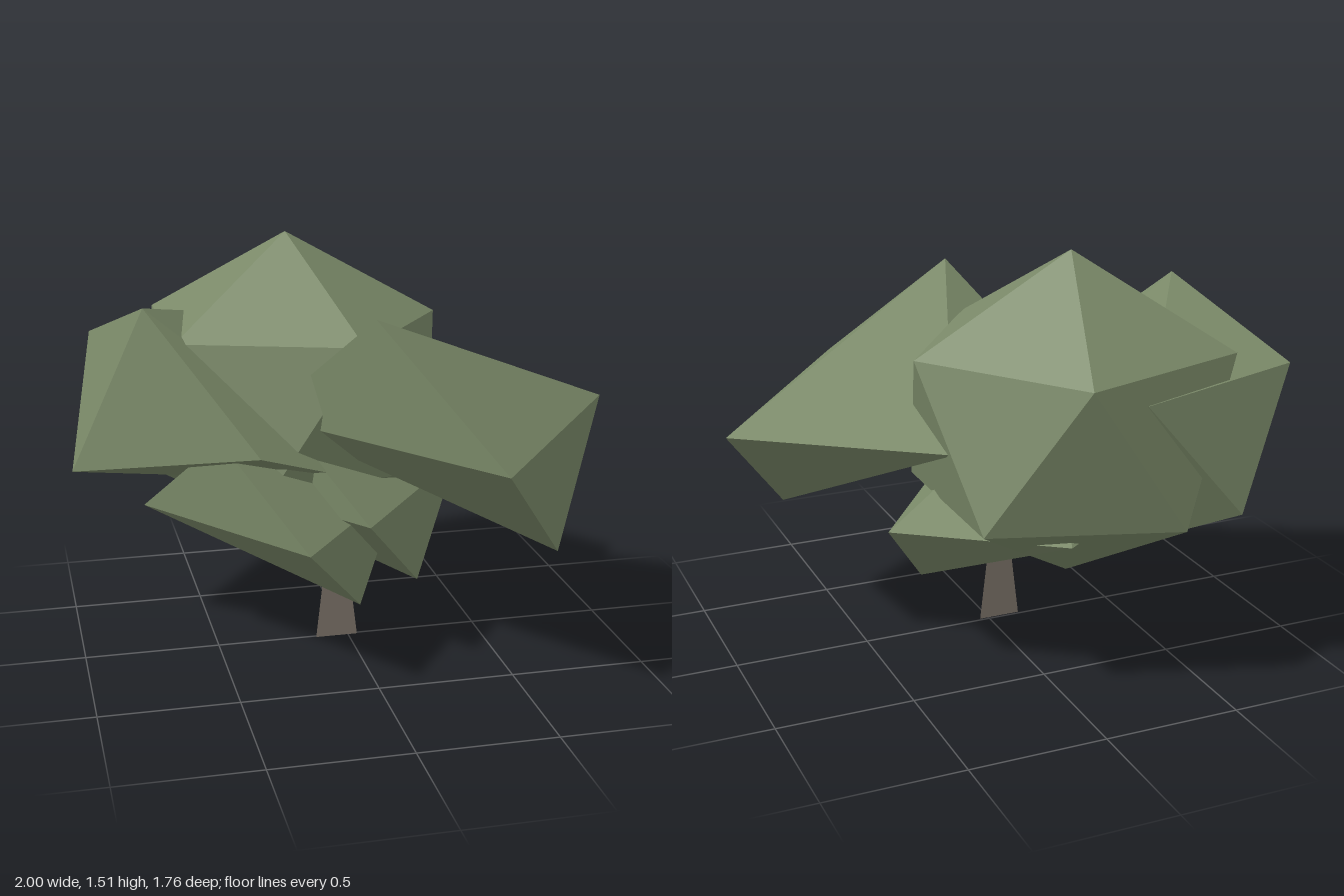
import * as THREE from 'three';
import { ConvexGeometry } from 'three/addons/geometries/ConvexGeometry.js';

export function createModel() {
  const tree = new THREE.Group();
  tree.name = 'tree';

  const leafGreen = new THREE.MeshStandardMaterial({ color: 0x7a8968, flatShading: true });
  leafGreen.name = 'leaf green';
  const barkBrown = new THREE.MeshStandardMaterial({ color: 0x7c7369, side: THREE.DoubleSide });
  barkBrown.name = 'bark brown';

  // Faceted leaf clump wrapped around a few corner points
  function addClump(name, points) {
    const corners = points.map(([x, y, z]) => new THREE.Vector3(x, y, z));
    const mesh = new THREE.Mesh(new ConvexGeometry(corners), leafGreen);
    mesh.name = name;
    tree.add(mesh);
    return mesh;
  }

  // Skewed double pyramid: flat four-cornered waist, one peak and one lower point
  const wedge = [
    [-0.765, 1, 0], [0.765, -1, 0],
    [0, 0, 1], [1.48, 0, -1.02], [0, 0, -2.08], [-1.48, 0, -1.02],
  ];
  const wedges = [
    ['upperLeftClump', 0.445, 0.34, 0.885, 0.435],
    ['lowerRightClump', 0.332, -0.26, 0.547, 0.235],
    ['lowerMiddleClump', 0.355, -0.007, 0.57, 0.04],
  ];
  for (const [name, size, x, y, z] of wedges) {
    const mesh = addClump(name, wedge);
    mesh.scale.setScalar(size);
    mesh.position.set(x, y, z);
  }

  // Central crown: twenty-sided ball standing on a corner
  const crown = [[0, 0.598, 0], [0, -0.598, 0]];
  for (let i = 0; i < 10; i++) {
    const a = (i * Math.PI) / 5;
    crown.push([0.582 * Math.cos(a), i % 2 ? -0.267 : 0.267, 0.582 * Math.sin(a)]);
  }
  addClump('crownClump', crown).position.set(-0.165, 0.913, -0.328);

  // Tilted clump on the right-hand side
  addClump('upperRightClump', [
    [-0.74, 1.31, -0.015], [-1, 0.645, -0.26], [-0.89, 1.1, -0.615],
    [-0.21, 1.09, -0.83], [-0.59, 0.65, -0.83], [-0.4, 0.86, 0.425],
    [0.06, 0.645, 0.09], [-0.24, 0.52, -0.64],
  ]);

  // Flat tapered trunk
  const trunkShape = new THREE.Shape([
    new THREE.Vector2(-0.08, 0), new THREE.Vector2(0.08, 0),
    new THREE.Vector2(0.03, 0.42), new THREE.Vector2(-0.03, 0.42),
  ]);
  const trunk = new THREE.Mesh(new THREE.ShapeGeometry(trunkShape), barkBrown);
  trunk.name = 'trunk';
  trunk.position.set(-0.045, 0, 0.01);
  tree.add(trunk);

  return tree;
}
